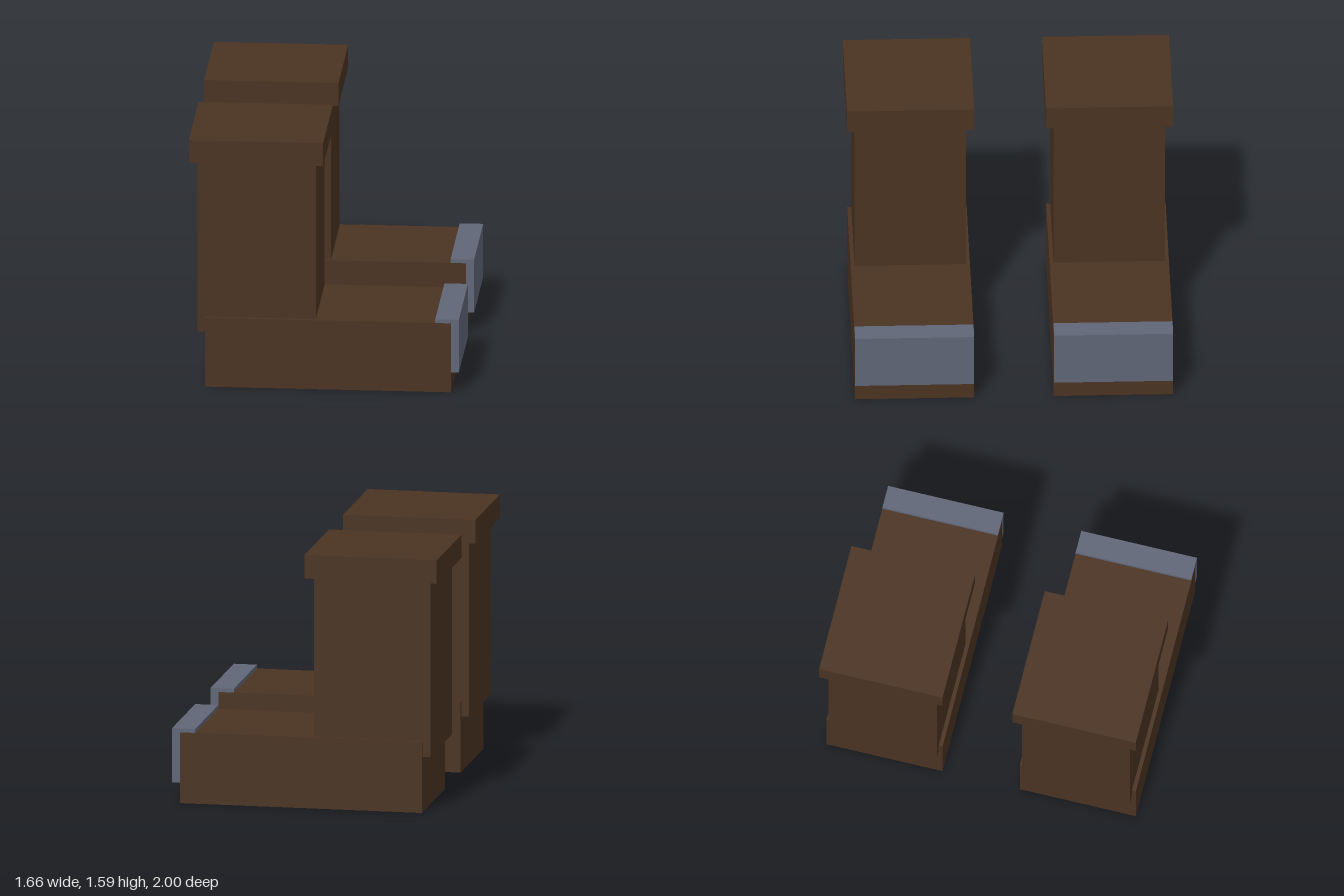
import * as THREE from 'three';

export function createModel() {
  const model = new THREE.Group();
  model.name = 'pairOfBoots';
  const leather = new THREE.MeshStandardMaterial({ color: 0x4a3322 });
  leather.name = 'brown leather';
  const steel = new THREE.MeshStandardMaterial({ color: 0x606677 });
  steel.name = 'grey steel';

  // Box spanning x0..x1 and y0..y1, centred on the boot's own z axis
  function block(name, x0, x1, y0, y1, depth, material) {
    const mesh = new THREE.Mesh(new THREE.BoxGeometry(x1 - x0, y1 - y0, depth), material);
    mesh.position.set((x0 + x1) / 2, (y0 + y1) / 2, 0);
    mesh.name = name;
    return mesh;
  }

  // Two identical boots side by side, toes towards +x
  for (const side of [1, -1]) {
    const boot = new THREE.Group();
    boot.name = side > 0 ? 'frontBoot' : 'backBoot';
    boot.add(
      block('foot', -0.732, 0.78, 0, 0.443, 0.732, leather),
      block('shaft', -0.78, -0.052, 0.347, 1.46, 0.683, leather),
      block('cuff', -0.829, -0.003, 1.444, 1.59, 0.78, leather),
      // Slightly narrower than the foot, so the sides do not coincide
      block('toeCap', 0.684, 0.829, 0.127, 0.467, 0.73, steel)
    );
    boot.position.z = side * 0.61;
    model.add(boot);
  }
  return model;
}
